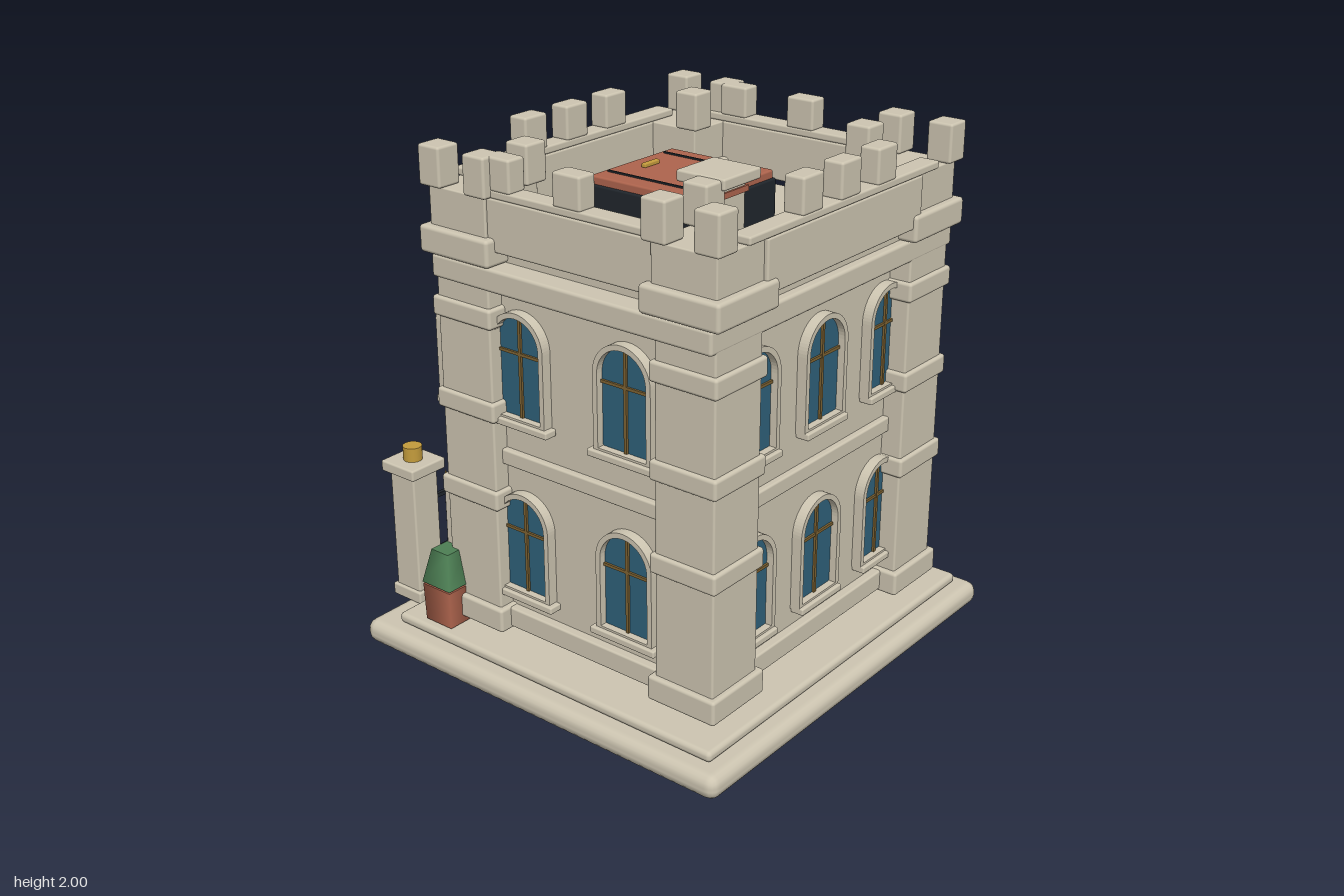
import * as THREE from 'three';
import { RoundedBoxGeometry } from 'three/addons/geometries/RoundedBoxGeometry.js';

const mat = (name, color, side = THREE.FrontSide) => {
  const m = new THREE.MeshStandardMaterial({ color, side });
  m.name = name;
  return m;
};

export function createModel() {
  const stone = mat('stone', 0xcdc5b1);
  const glass = mat('glass', 0x2f617a);
  const bronze = mat('bronze', 0x7d6232);
  const gold = mat('gold', 0xc49c3c);
  const terracotta = mat('terracotta', 0xae644d);
  const iron = mat('iron', 0x20262c);
  const leaf = mat('leaf', 0x4d7f54);

  const model = new THREE.Group();
  model.name = 'castleHouse';

  const add = (parent, name, geo, material, x = 0, y = 0, z = 0) => {
    const m = new THREE.Mesh(geo, material);
    m.name = name;
    m.position.set(x, y, z);
    parent.add(m);
    return m;
  };
  // Box given by its limits on each axis, with softly rounded edges if r > 0
  const block = (name, x0, x1, y0, y1, z0, z1, material = stone, r = 0.008, parent = model) => {
    const w = x1 - x0, h = y1 - y0, d = z1 - z0;
    const geo = r > 0 ? new RoundedBoxGeometry(w, h, d, 2, Math.min(r, w / 2.1, h / 2.1, d / 2.1))
      : new THREE.BoxGeometry(w, h, d);
    return add(parent, name, geo, material, (x0 + x1) / 2, (y0 + y1) / 2, (z0 + z1) / 2);
  };
  // Round-headed outline standing on y = 0
  const arch = (w, h, C = THREE.Shape) => {
    const s = new C();
    s.moveTo(-w / 2, 0);
    s.lineTo(w / 2, 0);
    s.lineTo(w / 2, h - w / 2);
    s.absarc(0, h - w / 2, w / 2, 0, Math.PI, false);
    s.closePath();
    return s;
  };
  const archFrame = (w, h, t, depth) => {
    const outer = arch(w + 2 * t, h + 2 * t);
    const hole = new THREE.Path(arch(w, h).getPoints(12).map(p => p.add(new THREE.Vector2(0, t))));
    outer.holes.push(hole);
    return new THREE.ExtrudeGeometry(outer, { depth, bevelEnabled: false, curveSegments: 16 });
  };

  // Stepped base
  block('baseSlab', -0.87, 0.87, 0.005, 0.1, -0.81, 0.875, stone, 0.042);
  block('plinth', -0.8, 0.8, 0.1, 0.142, -0.69, 0.805, stone, 0.018);
  block('lowerStep', -0.35, 0.35, 0.105, 0.15, -0.87, -0.6);
  block('upperStep', -0.35, 0.35, 0.145, 0.185, -0.71, -0.38);

  // Main walls and horizontal courses
  block('walls', -0.63, 0.63, 0.18, 1.6, -0.4, 0.65, stone, 0);
  for (const [y0, y1, o] of [[0.19, 0.27, 0.035], [0.845, 0.905, 0.025]]) {
    block('wallCourse', -0.63 - o, 0.63 + o, y0, y1, -0.38, 0.65 + o);
  }
  block('cornice', -0.72, 0.72, 1.52, 1.605, -0.49, 0.735, stone, 0.012);
  block('roof', -0.63, 0.63, 1.595, 1.635, -0.46, 0.7, stone, 0);
  for (const s of [-1, 1]) block('footing', s * 0.36 - 0.08, s * 0.36 + 0.08, 0.14, 0.18, -0.08, 0.1, iron, 0);

  // Corner towers with bands, caps and merlons
  for (const s of [-1, 1]) for (const [zc, f] of [[0.61, 1], [-0.37, -1]]) {
    const xc = s * 0.57;
    const sq = (name, half, y0, y1, r) =>
      block(name, xc - half, xc + half, y0, y1, zc - half, zc + half, stone, r);
    sq('towerShaft', 0.124, 0.18, 1.61, 0.008);
    sq('towerFoot', 0.145, 0.18, 0.275, 0.012);
    for (const y of [0.675, 1.02, 1.37]) sq('towerBand', 0.139, y, y + 0.075, 0.012);
    sq('towerCap', 0.162, 1.605, 1.705, 0.014);
    sq('towerTop', 0.132, 1.7, 1.845, 0.006);
    for (const [a, b] of [[1, 1], [-1, -1], [1, -1]]) {
      const x = xc + a * s * 0.105, z = zc + b * f * 0.105;
      block('towerMerlon', x - 0.05, x + 0.05, 1.845, 1.99, z - 0.05, z + 0.05, stone, 0.01);
    }
  }

  // Parapet walls and their merlons
  for (const z of [0.72, -0.48]) {
    block('parapet', -0.46, 0.46, 1.655, 1.845, z - 0.038, z + 0.038);
    block('parapetCoping', -0.56, 0.56, 1.845, 1.875, z - 0.04, z + 0.04);
    for (const x of [-0.22, 0, 0.22]) block('merlon', x - 0.058, x + 0.058, 1.87, 2, z - 0.04, z + 0.04, stone, 0.01);
  }
  for (const x of [-0.653, 0.653]) {
    block('parapet', x - 0.038, x + 0.038, 1.655, 1.845, -0.26, 0.5);
    block('parapetCoping', x - 0.04, x + 0.04, 1.845, 1.875, -0.31, 0.53);
    for (const z of [-0.19, 0.12]) block('merlon', x - 0.04, x + 0.04, 1.87, 1.99, z - 0.06, z + 0.06, stone, 0.01);
  }

  // Arched window: origin at the middle of the glass foot, facing +z
  const addWindow = (x, y, z, turn, w = 0.21, h = 0.375, sill = 0.29) => {
    const g = new THREE.Group();
    g.name = 'window';
    add(g, 'windowGlass', new THREE.ShapeGeometry(arch(w, h), 16), glass, 0, 0, 0.012);
    add(g, 'windowFrame', archFrame(w, h, 0.02, 0.04), stone, 0, -0.02, 0);
    block('mullion', -0.006, 0.006, 0, h, 0.012, 0.021, bronze, 0, g);
    block('crossbar', -w / 2, w / 2, h * 0.62, h * 0.62 + 0.011, 0.012, 0.02, bronze, 0, g);
    block('sill', -sill / 2, sill / 2, -0.035, -0.008, 0, 0.055, stone, 0.006, g);
    g.position.set(x, y, z);
    g.rotation.y = turn;
    model.add(g);
  };
  for (const y of [0.36, 1.05]) {
    for (const x of [-0.4, 0, 0.4]) addWindow(x, y, 0.65, 0, 0.21, 0.375, 0.25);
    for (const z of [0.325, -0.15]) for (const s of [-1, 1]) addWindow(s * 0.63, y, z, s * Math.PI / 2);
    for (const x of [-0.57, 0.57]) addWindow(x, y, -0.494, Math.PI, 0.165, 0.365, 0.21);
  }
  for (const x of [-0.14, 0.14]) addWindow(x, 1.05, -0.4, Math.PI, 0.19, 0.375, 0.24);

  // Double entrance door with panels and handles
  const door = new THREE.Group();
  door.name = 'entrance';
  add(door, 'doorLeaves', new THREE.ExtrudeGeometry(arch(0.34, 0.55), { depth: 0.02, bevelEnabled: false }), terracotta);
  add(door, 'doorFrame', archFrame(0.34, 0.55, 0.025, 0.045), stone, 0, -0.025, 0);
  block('doorSeam', -0.004, 0.004, 0, 0.54, 0.018, 0.024, iron, 0, door);
  for (const s of [-1, 1]) {
    for (const y of [0.04, 0.24]) block('doorPanel', s * 0.085 - 0.05, s * 0.085 + 0.05, y, y + 0.15, 0.015, 0.029, terracotta, 0.004, door);
    block('doorHandle', s * 0.022 - 0.007, s * 0.022 + 0.007, 0.2, 0.3, 0.02, 0.045, gold, 0.005, door);
  }
  door.position.set(0, 0.185, -0.4);
  door.rotation.y = Math.PI;
  model.add(door);

  // Wall lanterns and porch columns
  const columnProfile = [[0, 0], [0.052, 0], [0.052, 0.04], [0.037, 0.055], [0.033, 0.6], [0.045, 0.62], [0.045, 0.63], [0, 0.63]]
    .map(p => new THREE.Vector2(...p));
  for (const s of [-1, 1]) {
    block('lanternArm', s * 0.24 - 0.008, s * 0.24 + 0.008, 0.7, 0.715, -0.47, -0.4, iron, 0);
    add(model, 'lantern', new THREE.CylinderGeometry(0.032, 0.024, 0.07, 6), gold, s * 0.24, 0.665, -0.46);
    add(model, 'lanternCap', new THREE.ConeGeometry(0.036, 0.025, 6), iron, s * 0.24, 0.712, -0.46);
    add(model, 'porchColumn', new THREE.LatheGeometry(columnProfile, 20), stone, s * 0.405, 0.18, -0.558);
    block('columnCapital', s * 0.405 - 0.055, s * 0.405 + 0.055, 0.81, 0.862, -0.613, -0.503);
  }

  // Sloping canopy with fanned ribs
  const slope = new THREE.Shape([[-0.39, 0.885], [-0.715, 0.875], [-0.715, 0.887], [-0.5, 0.985], [-0.39, 0.985]]
    .map(p => new THREE.Vector2(-p[0], p[1])));
  const canopy = add(model, 'canopy', new THREE.ExtrudeGeometry(slope, { depth: 0.96, bevelEnabled: false }), terracotta, -0.48, 0, 0);
  canopy.rotation.y = Math.PI / 2;
  for (let i = 0; i < 17; i++) {
    const t = (i - 8) / 8;
    const rib = new THREE.LineCurve3(new THREE.Vector3(t * 0.38, 0.985, -0.505), new THREE.Vector3(t * 0.475, 0.885, -0.718));
    add(model, 'canopyRib', new THREE.TubeGeometry(rib, 1, 0.007, 6), terracotta);
  }

  // Balcony with turned balusters
  block('balconyFloor', -0.48, 0.48, 0.98, 1.03, -0.625, -0.39);
  block('balconyRail', -0.48, 0.48, 1.225, 1.25, -0.632, -0.59, stone, 0.01);
  block('railTrim', -0.48, 0.48, 1.248, 1.257, -0.616, -0.606, bronze, 0);
  const baluster = new THREE.LatheGeometry([[0.021, 0], [0.021, 0.02], [0.011, 0.03], [0.024, 0.08], [0.019, 0.115],
    [0.009, 0.13], [0.009, 0.17], [0.018, 0.185], [0.018, 0.2]].map(p => new THREE.Vector2(...p)), 12);
  for (let i = 0; i < 12; i++) add(model, 'baluster', baluster, stone, -0.46 + i * 0.92 / 11, 1.03, -0.611);
  for (const s of [-1, 1]) add(model, 'railFinial', new THREE.SphereGeometry(0.021, 12, 8), stone, s * 0.465, 1.265, -0.611);

  // Gate pillars
  for (const s of [-1, 1]) {
    const p = (name, half, y0, y1) => block(name, s * 0.585 - half, s * 0.585 + half, y0, y1, -0.795 - half, -0.795 + half);
    p('pillarFoot', 0.075, 0.1, 0.15);
    p('pillarShaft', 0.063, 0.14, 0.65);
    p('pillarCap', 0.086, 0.635, 0.68);
    add(model, 'pillarFinial', new THREE.CylinderGeometry(0.037, 0.037, 0.06, 20), gold, s * 0.585, 0.706, -0.795);
  }

  // Iron fence with gold tips and scrolls
  for (const y of [0.23, 0.46]) block('fenceRail', -0.53, 0.53, y, y + 0.016, -0.823, -0.807, iron, 0);
  for (let i = 0; i < 13; i++) {
    const x = -0.48 + i * 0.08;
    add(model, 'fenceBar', new THREE.CylinderGeometry(0.007, 0.007, 0.34, 8), iron, x, 0.35, -0.815);
    add(model, 'fenceTip', new THREE.ConeGeometry(0.012, 0.04, 8), gold, x, 0.538, -0.815);
  }
  for (const s of [-1, 1]) for (const [dx, dy, a] of [[-0.026, 0.025, 0], [0.026, 0.025, 2], [0, -0.03, 4]]) {
    const scroll = add(model, 'fenceScroll', new THREE.TorusGeometry(0.026, 0.006, 6, 16, 4.8), gold, s * 0.24 + dx, 0.37 + dy, -0.825);
    scroll.rotation.z = a;
  }

  // Square planters with clipped shrubs
  const prism = (top, bottom, h) => new THREE.CylinderGeometry(top * Math.SQRT1_2, bottom * Math.SQRT1_2, h, 4).rotateY(Math.PI / 4);
  for (const s of [-1, 1]) {
    add(model, 'planter', prism(0.138, 0.13, 0.15), terracotta, s * 0.71, 0.228, -0.497);
    add(model, 'shrub', prism(0.085, 0.142, 0.135), leaf, s * 0.71, 0.378, -0.497);
  }

  // Roof hatch
  block('hatchCurb', -0.238, 0.238, 1.635, 1.8, -0.19, 0.288, iron);
  block('hatchLid', -0.23, 0.23, 1.79, 1.83, -0.182, 0.28, terracotta);
  for (const s of [-1, 1]) block('hatchStrap', s * 0.157 - 0.004, s * 0.157 + 0.004, 1.828, 1.836, -0.16, 0.25, iron, 0);
  block('hatchHandle', -0.042, 0.042, 1.828, 1.845, 0.085 - 0.19, -0.085, gold, 0.005);

  // Chimney
  block('chimneyStack', -0.405, -0.275, 1.63, 1.96, 0.4, 0.53);
  block('chimneyBand', -0.412, -0.268, 1.915, 1.935, 0.393, 0.537, terracotta, 0);
  block('chimneyCap', -0.44, -0.24, 1.955, 1.995, 0.37, 0.567);

  return model;
}
